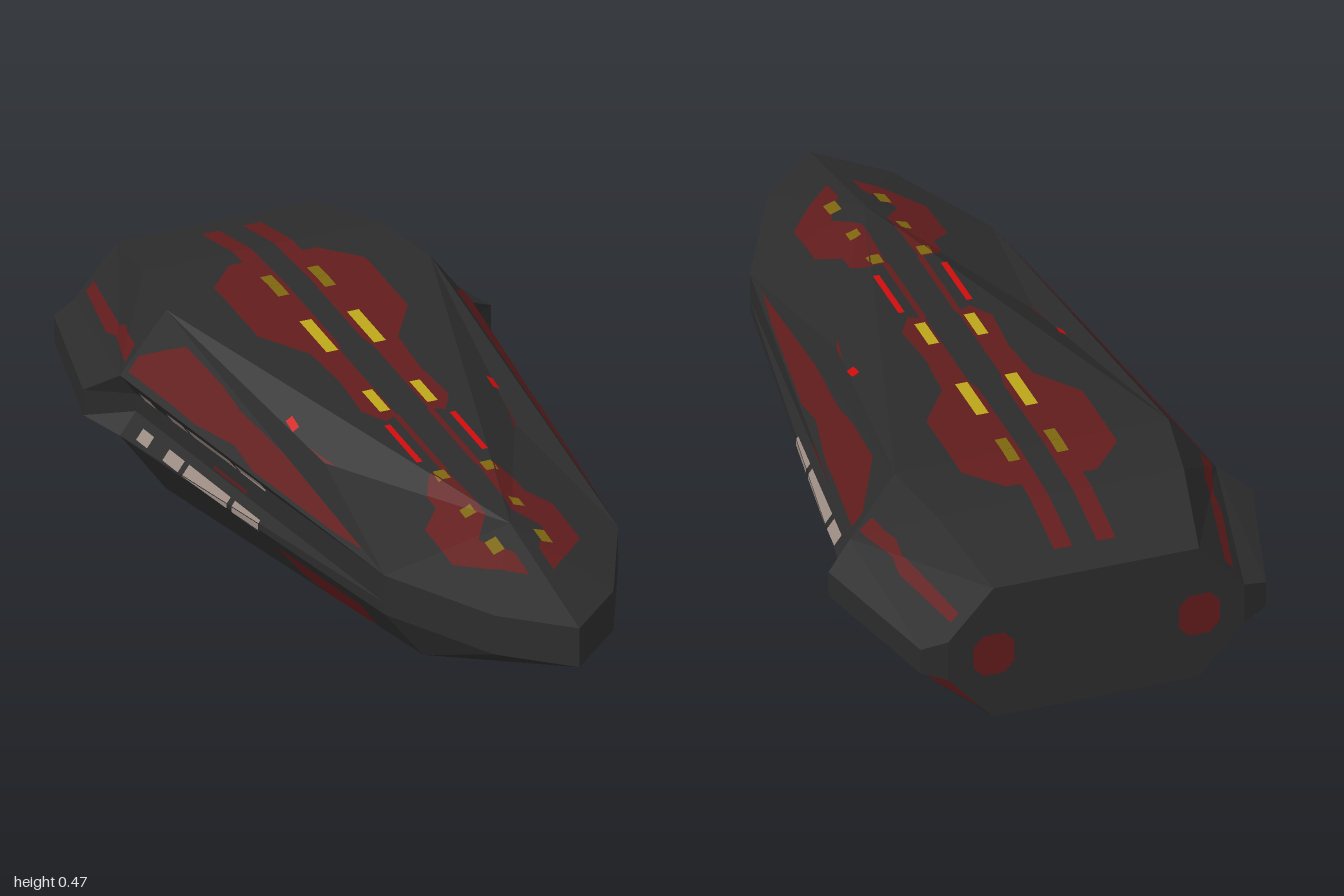
import * as THREE from 'three';

const mat = (name, color) => {
  const m = new THREE.MeshStandardMaterial({ color });
  m.name = name;
  return m;
};

// Turn convex faces (lists of points) into outward-facing triangles
function toTriangles(faces) {
  const tris = [];
  for (const f of faces) {
    for (let i = 1; i < f.length - 1; i++) {
      const [a, b, c] = [f[0], f[i], f[i + 1]].map(p => new THREE.Vector3(...p));
      const n = b.clone().sub(a).cross(c.clone().sub(a)).normalize();
      const mid = a.clone().add(b).add(c).divideScalar(3);
      const out = mid.clone().sub(new THREE.Vector3(0, 0.23, mid.z * 0.8));
      tris.push(n.dot(out) < 0 ? { p: [a, c, b], n: n.negate() } : { p: [a, b, c], n });
    }
  }
  return tris;
}

// Flat-shaded geometry, optionally mirrored to the other side
function facetGeometry(tris, mirror) {
  const pos = [];
  for (const { p } of tris) {
    for (const v of mirror ? [p[0], p[2], p[1]] : p) pos.push(mirror ? -v.x : v.x, v.y, v.z);
  }
  const g = new THREE.BufferGeometry();
  g.setAttribute('position', new THREE.Float32BufferAttribute(pos, 3));
  g.computeVertexNormals();
  return g;
}

const cross2 = (a, b, c) => (b[0] - a[0]) * (c[1] - a[1]) - (b[1] - a[1]) * (c[0] - a[0]);

// Clip a convex polygon to a 2D triangle
function clip(poly, tri) {
  if (cross2(...tri) < 0) tri = [tri[0], tri[2], tri[1]];
  for (let e = 0; e < 3; e++) {
    const a = tri[e], b = tri[(e + 1) % 3], out = [];
    poly.forEach((p, i) => {
      const q = poly[(i + 1) % poly.length];
      const dp = cross2(a, b, p), dq = cross2(a, b, q);
      if (dp >= 0) out.push(p);
      if (dp >= 0 !== dq >= 0) {
        const t = dp / (dp - dq);
        out.push([p[0] + (q[0] - p[0]) * t, p[1] + (q[1] - p[1]) * t]);
      }
    });
    poly = out;
  }
  return poly;
}

const VIEWS = {
  top: ['x', 'z', [0, 1, 0]], bottom: ['x', 'z', [0, -1, 0]], side: ['z', 'y', [1, 0, 0]],
  front: ['x', 'y', [0, 0, 1]], back: ['x', 'y', [0, 0, -1]],
};

// Lay flat outlines onto the hull as thin painted plates
function project(hull, view, outlines, lift) {
  const [u, v, d] = VIEWS[view], dir = new THREE.Vector3(...d), result = [];
  for (const outline of outlines) {
    const pieces = THREE.ShapeUtils.triangulateShape(outline.map(p => new THREE.Vector2(...p)), []);
    for (const { p, n } of hull) {
      if (n.dot(dir) < 0.5) continue;
      const flat = p.map(q => [q[u], q[v]]), area = cross2(...flat);
      for (const piece of pieces) {
        const pts = clip(piece.map(i => outline[i]), flat).map(q => {
          const w1 = cross2(flat[0], q, flat[2]) / area, w2 = cross2(flat[0], flat[1], q) / area;
          return new THREE.Vector3().addScaledVector(p[0], 1 - w1 - w2)
            .addScaledVector(p[1], w1).addScaledVector(p[2], w2).addScaledVector(n, lift);
        });
        for (let i = 1; i < pts.length - 1; i++) {
          const [a, b, c] = [pts[0], pts[i], pts[i + 1]];
          const facing = b.clone().sub(a).cross(c.clone().sub(a)).dot(n);
          result.push({ p: facing < 0 ? [a, c, b] : [a, b, c], n });
        }
      }
    }
  }
  return result;
}

const rect = (u0, u1, v0, v1) => [[u0, v0], [u1, v0], [u1, v1], [u0, v1]];
const octagon = (cx, cy, rx, ry) => [[-1, -.5], [-.5, -1], [.5, -1], [1, -.5], [1, .5], [.5, 1], [-.5, 1], [-1, .5]]
  .map(([x, y]) => [cx + x * rx, cy + y * ry]);

export function createModel() {
  const hullGrey = mat('hull charcoal', 0x2c2c2c);
  const red = mat('panel dark red', 0x621c1c);
  const glow = mat('light red', 0xd00c0c);
  const yellow = mat('light yellow', 0xbca61a);
  const amber = mat('dim amber', 0x7d660f);
  const pane = mat('window grey', 0x9c8c84);
  const group = new THREE.Group();
  group.name = 'spaceship';

  // Key points of one half
  const n0t = [0, .285, 1], n1t = [.15, .285, .86], n2t = [.295, .285, .57];
  const n0b = [0, .185, 1], n1b = [.15, .185, .86], n2b = [.295, .185, .57];
  const deckNose = [0, .38, .62], deckMid = [.24, .355, .12];
  const deckC = [0, .46, -.55], deckE = [.333, .46, -.55], aftC = [0, .46, -.75], aftE = [.3, .46, -.75];
  const sternC = [0, .41, -1], sternE = [.25, .41, -1], keelSternC = [0, .055, -1], keelSternE = [.25, .055, -1];
  const keelNoseC = [0, .088, .62], keelNoseE = [.22, .088, .62], keelC = [0, 0, -.55], keelE = [.333, 0, -.55];
  const keelAftC = [0, 0, -.75], keelAftE = [.3, 0, -.75];
  const bt = [.445, .31, -.56], bb = [.445, .155, -.56], rt = [.36, .285, -1], rb = [.36, .18, -1];
  const gt = [.405, .255, -.56], gb = [.405, .21, -.56], ft = [.295, .25, .57], fb = [.295, .215, .57];
  const ot = [.515, .265, -.61], ob = [.515, .2, -.61], qt = [.42, .265, -.98], qb = [.42, .2, -.98];

  const parts = {
    upperHull: [
      [n0t, n1t, deckNose], [n1t, n2t, deckNose], [n2t, deckMid, deckNose],
      [deckNose, deckMid, deckE, deckC], [n2t, bt, deckE, deckMid],
      [deckC, deckE, aftE, aftC], [aftC, aftE, sternE, sternC], [bt, rt, sternE, aftE, deckE],
    ],
    lowerHull: [
      [n0b, n1b, keelNoseE, keelNoseC], [n1b, n2b, keelNoseE], [n2b, bb, keelE, keelNoseE],
      [keelNoseC, keelNoseE, keelE, keelC], [keelC, keelE, keelAftE, keelAftC],
      [keelAftC, keelAftE, keelSternE, keelSternC], [bb, rb, keelSternE, keelAftE, keelE],
    ],
    noseBand: [[n0t, n1t, n1b, n0b], [n1t, n2t, n2b, n1b]],
    sideGroove: [[n2t, bt, gt, ft], [ft, gt, gb, fb], [fb, gb, bb, n2b]],
    sidePod: [
      [gt, bt, ot], [gt, ot, ob], [gt, ob, gb], [gb, ob, bb],
      [bt, ot, qt, rt], [ot, ob, qb, qt], [bb, ob, qb, rb], [rt, qt, qb, rb],
    ],
    stern: [[sternC, sternE, rt, rb, keelSternE, keelSternC]],
  };

  const addPair = (name, tris, material) => {
    for (const mirror of [false, true]) {
      const m = new THREE.Mesh(facetGeometry(tris, mirror), material);
      m.name = name + (mirror ? 'Right' : 'Left');
      group.add(m);
    }
  };
  const hull = [];
  for (const [name, faces] of Object.entries(parts)) {
    const tris = toTriangles(faces);
    hull.push(...tris);
    addPair(name, tris, hullGrey);
  }
  const paint = (name, material, view, outlines, lift = 0.003) =>
    addPair(name, project(hull, view, outlines, lift), material);

  // Red panels
  paint('deckPanel', red, 'top', [
    [[.03, -.92], [.075, -.92], [.075, -.69], [.11, -.69], [.19, -.6], [.19, -.36], [.11, -.24],
      [.1, -.1], [.11, .04], [.075, .1], [.04, .08], [.04, -.22], [.03, -.27]],
    rect(.035, .05, .08, .35),
    [[.04, .35], [.08, .35], [.11, .4], [.11, .45], [.16, .5], [.16, .65], [.1, .72], [.03, .79],
      [.03, .71], [.08, .62], [.03, .55]],
  ]);
  paint('flankPanel', red, 'side', [
    [[.5, .303], [.45, .325], [.3, .342], [.2, .352], [-.15, .385], [-.25, .405], [-.42, .425], [-.47, .4],
      [-.54, .36], [-.54, .325], [-.35, .32], [-.25, .315], [-.1, .325], [0, .305], [.35, .298]],
    [[-.57, .335], [-.58, .37], [-.68, .37], [-.72, .35], [-.97, .337], [-.97, .315], [-.75, .32], [-.7, .335]],
    [[.43, .145], [.07, .145], [.12, .085], [.2, .065], [.43, .085]],
    [[-.6, .04], [-.69, .14], [-.97, .14], [-.97, .065], [-.74, .01]],
    rect(-.2, -.05, .22, .23),
  ]);
  paint('keelPanel', red, 'bottom', [
    [[.18, .5], [.215, .5], [.3, -.42], [.13, -.42], [.1, -.25], [.1, .15], [.17, .22]],
  ]);
  paint('nosePanel', red, 'front', [octagon(.185, .228, .03, .028)]);
  paint('sternPanel', red, 'back', [octagon(.25, .23, .05, .055)]);

  // Lights and windows
  paint('deckLight', glow, 'top', [rect(.075, .09, .12, .3)], 0.006);
  paint('flankLight', glow, 'side', [[[-.01, .375], [-.01, .385], [-.05, .395], [-.05, .385]]], 0.006);
  paint('deckWindows', yellow, 'top', [rect(.045, .075, -.38, -.23), rect(.047, .073, -.04, .06)], 0.006);
  paint('dimDeckWindows', amber, 'top',
    [[-.6, -.5], [.35, .39], [.5, .535], [.64, .69]].map(([a, b]) => rect(.045, .073, a, b)), 0.006);
  const spans = [[-.08, .035], [-.29, -.1], [-.38, -.31], [-.5, -.45]];
  paint('upperSideWindows', pane, 'side', spans.map(([a, b]) => rect(a, b, .265, .29)));
  paint('lowerSideWindows', pane, 'side', spans.map(([a, b]) => rect(a, b, .168, .193)));

  return group;
}
